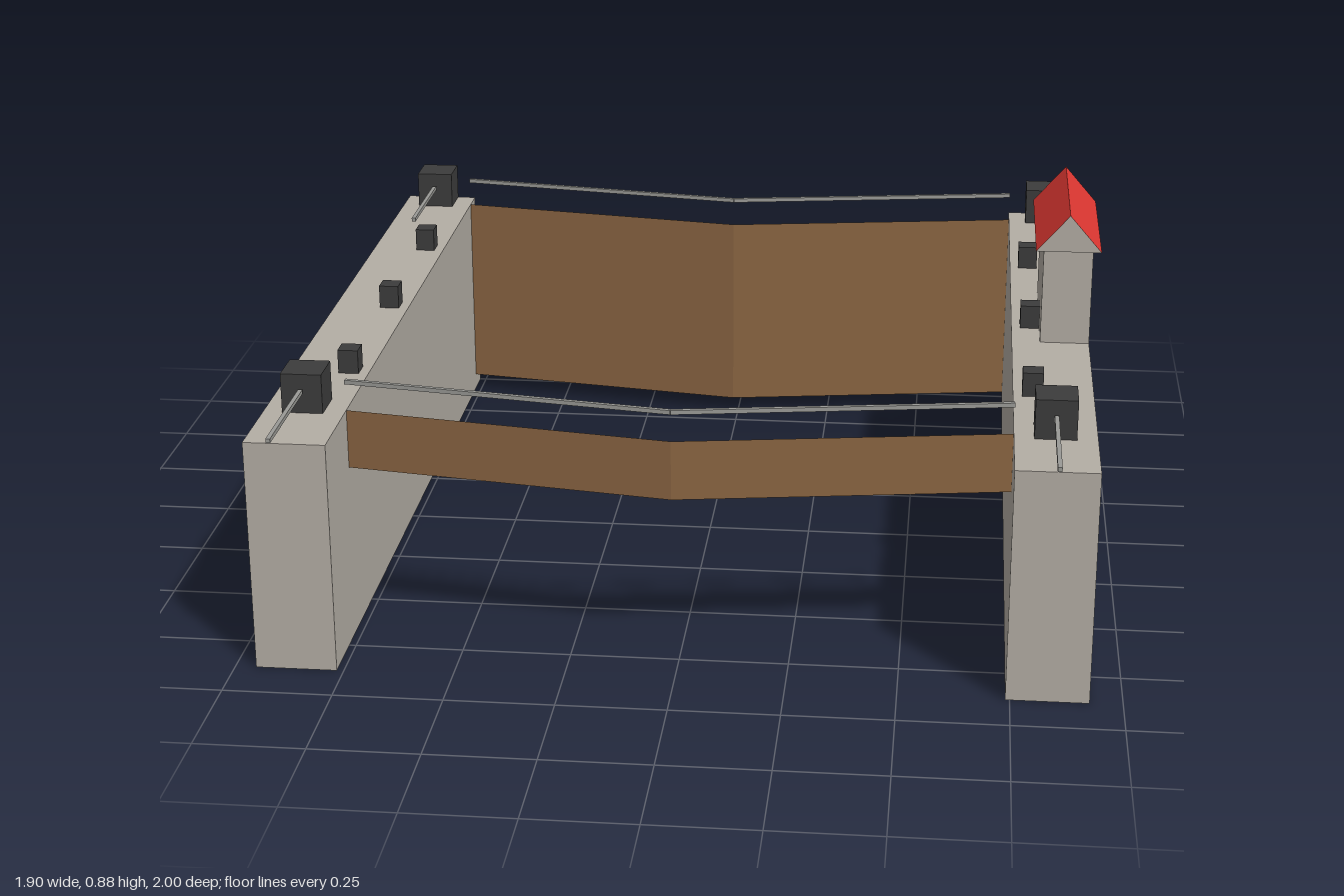
import * as THREE from 'three';

export function createModel() {
  const model = new THREE.Group();
  const mat = (name, color, side = THREE.FrontSide) => {
    const m = new THREE.MeshStandardMaterial({ color, side });
    m.name = name;
    return m;
  };
  const stone = mat('stone', 0xb4aea5, THREE.DoubleSide);
  const wood = mat('wood', 0x8a6542, THREE.DoubleSide);
  const iron = mat('dark iron', 0x3c3c3c);
  const steel = mat('steel', 0x9a9a96);
  const red = mat('red tile', 0xdc3731);

  const add = (name, geometry, material, parent = model) => {
    const mesh = new THREE.Mesh(geometry, material);
    mesh.name = name;
    parent.add(mesh);
    return mesh;
  };

  // Box from its min and max corners, optionally without its bottom face
  const box = (name, material, [x0, y0, z0], [x1, y1, z1], open = false) => {
    const g = new THREE.BoxGeometry(x1 - x0, y1 - y0, z1 - z0);
    if (open) {
      const index = Array.from(g.index.array);
      index.splice(18, 6);
      g.setIndex(index);
      g.clearGroups();
    }
    g.translate((x0 + x1) / 2, (y0 + y1) / 2, (z0 + z1) / 2);
    return add(name, g, material);
  };

  // Square bar between two points
  const bar = (name, a, b, size = 0.01) => {
    const p = new THREE.Vector3(...a), q = new THREE.Vector3(...b);
    const mesh = add(name, new THREE.BoxGeometry(size, size, p.distanceTo(q)), steel);
    mesh.position.copy(p).add(q).multiplyScalar(0.5);
    mesh.lookAt(q);
  };

  // Chamber walls, hollow underneath
  const top = 0.55;
  box('rightWall', stone, [-0.952, 0, -1], [-0.766, top, 0.88], true);
  box('leftWall', stone, [0.74, 0, -1], [0.926, top, 0.88], true);

  // Winches, balance beams and bollards on each wall
  for (const [winchX, bollardX] of [[-0.861, -0.813], [0.832, 0.785]]) {
    for (const z of [-0.954, 0.646]) {
      box('winch', iron, [winchX - 0.047, top, z - 0.047], [winchX + 0.047, 0.643, z + 0.047]);
      bar('balanceBeam', [winchX, 0.605, z + 0.055], [winchX, 0.605, z + 0.354]);
    }
    for (const z of [-0.532, -0.062, 0.408]) {
      box('bollard', iron, [bollardX - 0.024, top, z - 0.024], [bollardX + 0.024, 0.607, z + 0.024]);
    }
  }

  // Mitred gates with a handrail above: [name, end z, middle z, bottom y]
  const x0 = -0.766, x1 = 0.74, xm = (x0 + x1) / 2;
  for (const [name, zEnd, zMid, y] of [
    ['backGate', -0.932, -0.814, 0.04],
    ['frontGate', 0.667, 0.785, 0.41],
  ]) {
    for (const [xa, xb, za, zb] of [[x0, xm, zEnd, zMid], [xm, x1, zMid, zEnd]]) {
      const leaf = add(name, new THREE.PlaneGeometry(Math.hypot(xb - xa, zb - za), top - y), wood);
      leaf.position.set((xa + xb) / 2, (top + y) / 2, (za + zb) / 2);
      leaf.rotation.y = -Math.atan2(zb - za, xb - xa);
      bar(name + 'Rail', [xa, 0.62, za], [xb, 0.62, zb]);
    }
  }

  // Keeper's hut with a gabled roof
  box('hut', stone, [0.808, top, -0.315], [0.926, 0.79, 0.06]);
  const gable = new THREE.Shape([
    new THREE.Vector2(0.789, 0.788),
    new THREE.Vector2(0.945, 0.788),
    new THREE.Vector2(0.867, 0.878),
  ]);
  const roof = new THREE.ExtrudeGeometry(gable, { depth: 0.422, bevelEnabled: false });
  roof.translate(0, 0, -0.34);
  add('hutRoof', roof, [stone, red]);

  return model;
}
